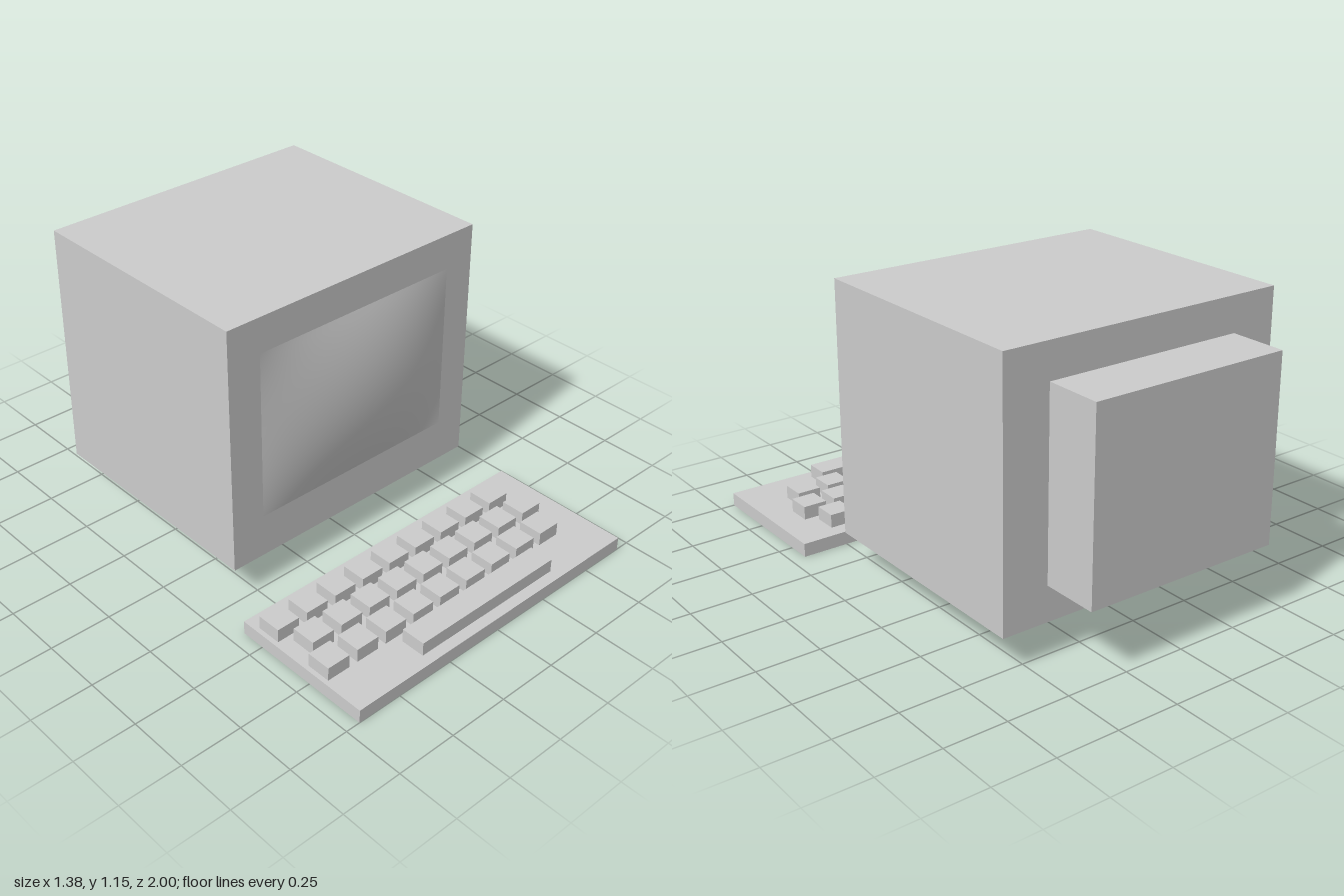
import * as THREE from 'three';

export function createModel() {
  const model = new THREE.Group();
  model.name = 'desktopComputer';

  const plastic = new THREE.MeshStandardMaterial({ color: 0xcccccc, side: THREE.DoubleSide });
  plastic.name = 'grey plastic';

  // Box given by its limits on each axis
  function box(name, [x0, x1], [y0, y1], [z0, z1], parent = model) {
    const mesh = new THREE.Mesh(new THREE.BoxGeometry(x1 - x0, y1 - y0, z1 - z0), plastic);
    mesh.position.set((x0 + x1) / 2, (y0 + y1) / 2, (z0 + z1) / 2);
    mesh.name = name;
    parent.add(mesh);
    return mesh;
  }

  // Monitor: case, rear tube housing and foot
  const monitor = new THREE.Group();
  monitor.name = 'monitor';
  model.add(monitor);
  box('monitorCase', [-0.597, 0.597], [0.14, 1.15], [-0.77, 0.24], monitor);
  box('tubeHousing', [-0.41, 0.41], [0.28, 1.01], [-1, -0.77], monitor);
  box('monitorStand', [-0.275, 0.275], [0, 0.14], [-0.535, 0.01], monitor);

  // Curved glass: a patch with flat edges that bulges towards the middle
  const width = 0.92, height = 0.69, bulge = 0.055;
  const glass = new THREE.PlaneGeometry(width, height, 28, 28);
  const p = glass.attributes.position;
  for (let i = 0; i < p.count; i++) {
    const u = p.getX(i) / (width / 2), v = p.getY(i) / (height / 2);
    p.setZ(i, bulge * (1 - u * u) * (1 - v * v));
  }
  glass.computeVertexNormals();
  const screen = new THREE.Mesh(glass, plastic);
  screen.name = 'screen';
  screen.position.set(0, 0.667, 0.246);
  monitor.add(screen);

  // Keyboard: base, three staggered rows of keys and a space bar
  const keyboard = new THREE.Group();
  keyboard.name = 'keyboard';
  model.add(keyboard);
  box('keyboardBase', [-0.69, 0.69], [0, 0.055], [0.4, 1], keyboard);
  const keyY = [0.055, 0.11], half = 0.05, pitch = 0.1376;
  [-0.621, -0.574, -0.621].forEach((startX, row) => {
    const z = 0.514 + row * 0.13;
    for (let i = 0; i < 9; i++) {
      const x = startX + i * pitch;
      box('key', [x - half, x + half], keyY, [z - half, z + half], keyboard);
    }
  });
  box('spaceBar', [-0.343, 0.341], keyY, [0.854, 0.954], keyboard);

  return model;
}
